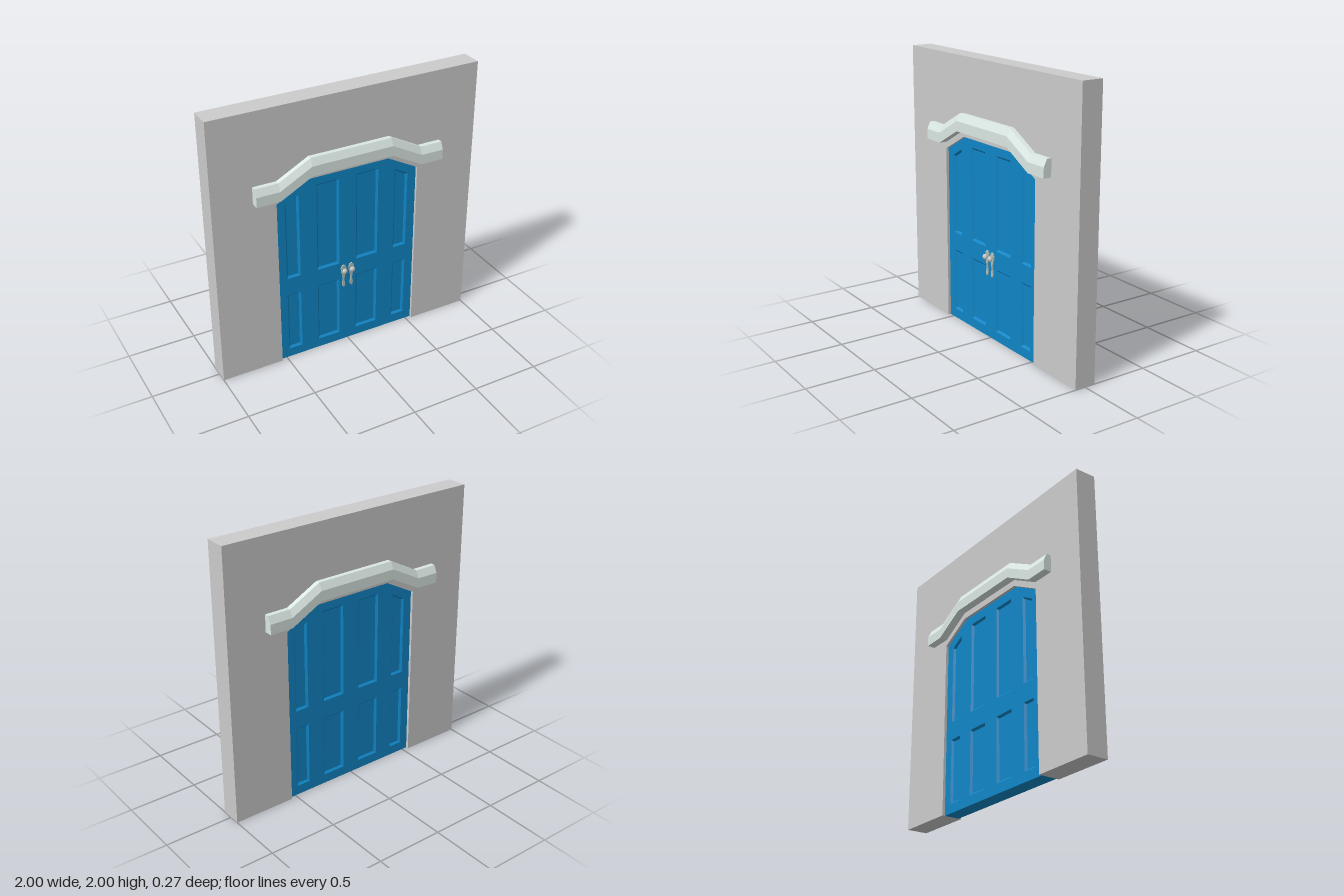
import * as THREE from 'three';

const material = (color) => new THREE.MeshStandardMaterial({ color });
const WALL_Z = 0.078, DOOR_Z = 0.058;

function addMesh(parent, name, geometry, mat) {
  const mesh = new THREE.Mesh(geometry, mat);
  mesh.name = name;
  parent.add(mesh);
  return mesh;
}

const toShape = (pts) => new THREE.Shape(pts.map(([x, y]) => new THREE.Vector2(x, y)));

function slab(shape, halfDepth) {
  const g = new THREE.ExtrudeGeometry(shape, { depth: halfDepth * 2, bevelEnabled: false });
  return g.translate(0, 0, -halfDepth);
}

function flatGeometry(positions) {
  const g = new THREE.BufferGeometry();
  g.setAttribute('position', new THREE.Float32BufferAttribute(positions, 3));
  g.computeVertexNormals();
  return g;
}

// Four corners, counter-clockwise; the top edge may slope
function panelCorners(x0, x1, y0, t0, t1) {
  return [[x0, y0], [x1, y0], [x1, t1], [x0, t0]];
}

function insetCorners([[x0, y0], [x1], [, t1], [, t0]], b) {
  const rise = (t1 - t0) / (x1 - x0) * b;
  return panelCorners(x0 + b, x1 - b, y0 + b, t0 + rise - b, t1 - rise - b);
}

// Recessed panel: sloping border and sunken field
function panelGeometry(corners) {
  const outer = corners.map(([x, y]) => [x, y, DOOR_Z]);
  const inner = insetCorners(corners, 0.014).map(([x, y]) => [x, y, DOOR_Z - 0.014]);
  const p = [];
  for (let i = 0; i < 4; i++) {
    const j = (i + 1) % 4;
    p.push(...outer[i], ...outer[j], ...inner[j], ...outer[i], ...inner[j], ...inner[i]);
  }
  p.push(...inner[0], ...inner[1], ...inner[2], ...inner[0], ...inner[2], ...inner[3]);
  return flatGeometry(p);
}

// Chamfered moulding that follows the bends of the arch
function lintelGeometry() {
  const path = [[-0.71, 1.35], [-0.54, 1.35], [-0.305, 1.475], [0.305, 1.475], [0.54, 1.35], [0.71, 1.35]];
  const section = [[0.07, 0], [0.137, 0], [0.137, 0.073], [0.112, 0.125], [0.07, 0.125]];
  const rings = path.map(([x, y]) => section.map(([z, dy]) => [x, y + dy, z]));
  const p = [], n = section.length;
  for (let i = 0; i < rings.length - 1; i++) {
    const a = rings[i], b = rings[i + 1];
    for (let k = 0; k < n; k++) {
      const m = (k + 1) % n;
      p.push(...a[k], ...b[k], ...b[m], ...a[k], ...b[m], ...a[m]);
    }
  }
  const first = rings[0], last = rings[rings.length - 1];
  for (let k = 1; k < n - 1; k++) {
    p.push(...first[0], ...first[k], ...first[k + 1]);
    p.push(...last[0], ...last[k + 1], ...last[k]);
  }
  return flatGeometry(p);
}

// Waisted back plate with a round knob
function makeHandle(x, mat) {
  const handle = new THREE.Group();
  handle.name = 'handle';
  const half = [[0.004, 0.47], [0.011, 0.483], [0.012, 0.497], [0.005, 0.53], [0.008, 0.555],
    [0.012, 0.575], [0.02, 0.603], [0.021, 0.63], [0.015, 0.646], [0.006, 0.655]];
  const outline = [...half, ...half.slice().reverse().map(([w, y]) => [-w, y])];
  const plate = new THREE.ExtrudeGeometry(toShape(outline), { depth: 0.009, bevelEnabled: false });
  addMesh(handle, 'handlePlate', plate, mat).position.z = DOOR_Z - 0.001;
  const profile = [[0.008, 0], [0.008, 0.01], [0.015, 0.014], [0.02, 0.021], [0.02, 0.028], [0.014, 0.036], [0, 0.039]];
  const knob = new THREE.LatheGeometry(profile.map(([r, h]) => new THREE.Vector2(r, h)), 16);
  knob.rotateX(Math.PI / 2);
  addMesh(handle, 'knob', knob, material(0xcccccc)).position.set(0, 0.612, DOOR_Z);
  handle.position.x = x;
  return handle;
}

export function createModel() {
  const model = new THREE.Group();
  model.name = 'doorway';
  const wallMat = material(0xcccccc), blue = material(0x1086c6);
  const stone = material(0xdbe8e4), metal = material(0xb4c0b8);
  const arch = [[0.543, 0], [0.543, 1.3], [0.305, 1.428], [-0.305, 1.428], [-0.543, 1.3], [-0.543, 0]];

  // Wall with an open doorway
  const wall = [[-1, 0], [-1, 2], [1, 2], [1, 0], ...arch];
  addMesh(model, 'wall', slab(toShape(wall), WALL_Z), wallMat);

  // Panel layout for one half of the door, mirrored to the other
  const panels = [];
  for (const s of [1, -1]) {
    const add = (x0, x1, y0, t0, t1) => panels.push(
      s > 0 ? panelCorners(x0, x1, y0, t0, t1) : panelCorners(-x1, -x0, y0, t1, t0));
    add(0.067, 0.24, 0.07, 0.54, 0.54);
    add(0.067, 0.24, 0.675, 1.36, 1.36);
    add(0.372, 0.477, 0.07, 0.54, 0.54);
    add(0.372, 0.477, 0.675, 1.32, 1.26);
  }

  // Door frame, pierced where the panels sit
  const doorShape = toShape(arch);
  for (const c of panels) doorShape.holes.push(new THREE.Path(c.map(([x, y]) => new THREE.Vector2(x, y))));
  addMesh(model, 'door', slab(doorShape, DOOR_Z), blue);

  // Panels and lintel on both faces
  for (const turn of [0, Math.PI]) {
    const face = new THREE.Group();
    face.name = turn ? 'backFace' : 'frontFace';
    for (const c of panels) addMesh(face, 'doorPanel', panelGeometry(c), blue);
    addMesh(face, 'lintel', lintelGeometry(), stone);
    face.rotation.y = turn;
    model.add(face);
  }

  // Pair of handles on the front
  for (const x of [-0.035, 0.027]) model.add(makeHandle(x, metal));
  return model;
}
